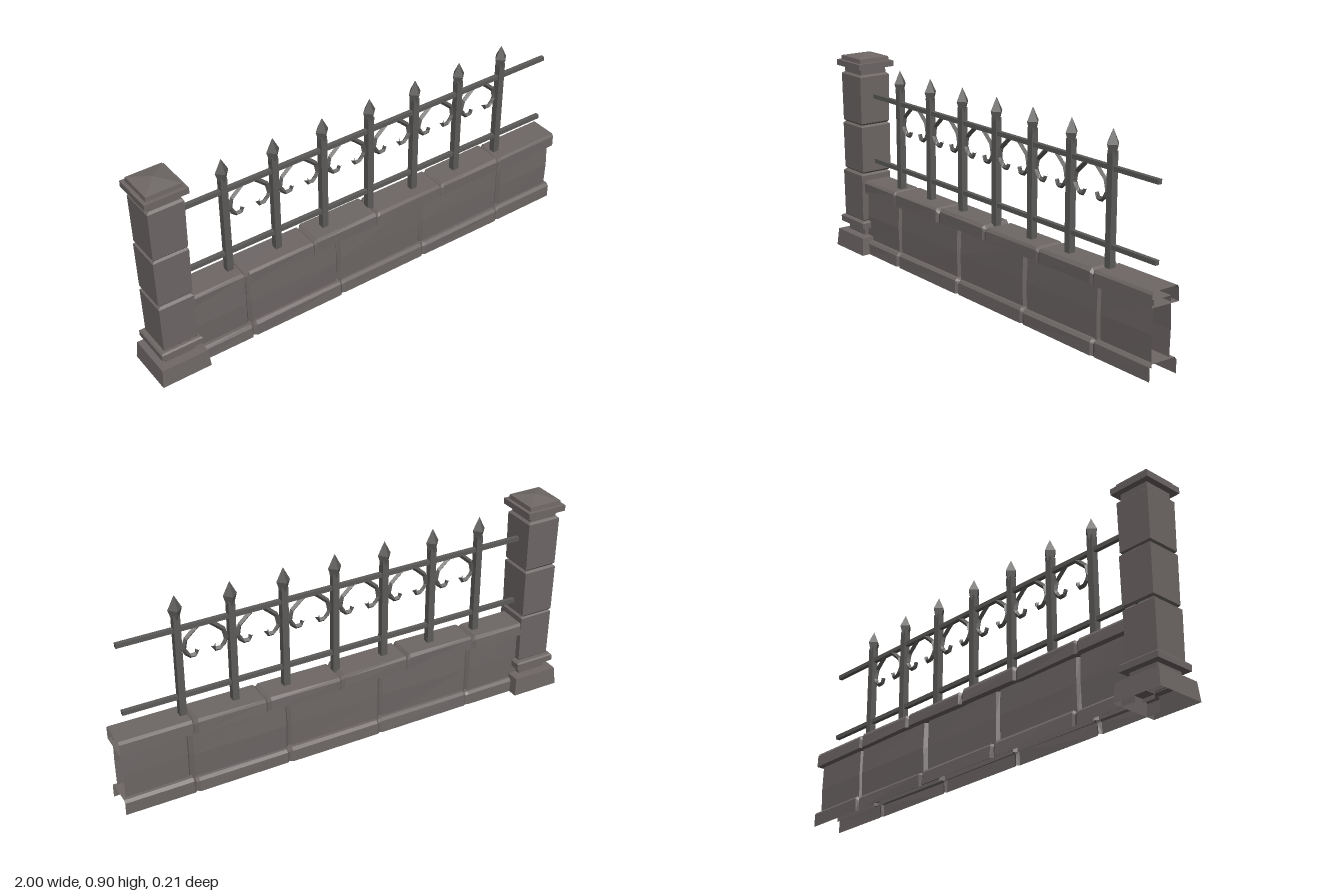
import * as THREE from 'three';

const stone = new THREE.MeshStandardMaterial({ color: 0x6e6766, flatShading: true, side: THREE.DoubleSide });
stone.name = 'stone';
const iron = new THREE.MeshStandardMaterial({ color: 0x5c5b59, flatShading: true });
iron.name = 'iron';

// Small seeded generator for the worn, uneven stone edges
let seed = 7;
function jitter(amount) {
  seed = (seed * 16807) % 2147483647;
  return (seed / 2147483647 - 0.5) * 2 * amount;
}

function add(parent, name, geometry, material, x = 0, y = 0, z = 0) {
  const flat = geometry.index ? geometry.toNonIndexed() : geometry;
  flat.computeVertexNormals();
  const mesh = new THREE.Mesh(flat, material);
  mesh.name = name;
  mesh.position.set(x, y, z);
  parent.add(mesh);
  return mesh;
}

// Four-sided stack with flat faces along x and z; profile is [halfWidth, y]
function squareStack(profile) {
  const pts = profile.map(([w, y]) => new THREE.Vector2(w * Math.SQRT2, y));
  return new THREE.LatheGeometry(pts, 4, Math.PI / 4);
}

// Runs a [z, y] profile along x; each seam becomes a V groove between blocks
function course(profile, start, end, seams, { groove, drop = 0, wear, bevel = 0.012, closed = false }) {
  const rings = [];
  const midY = profile.reduce((s, p) => s + p[1], 0) / profile.length;
  const edges = [start, ...seams, end];
  for (let b = 0; b < edges.length - 1; b++) {
    const last = b === edges.length - 2;
    const lift = jitter(wear), shift = jitter(wear);
    const block = (x, skew) => profile.map(([z, y]) => [
      x + skew,
      y < 0.001 ? 0 : y + (y > midY ? lift : 0) + jitter(wear * 0.6),
      z + shift + jitter(wear * 0.5),
    ]);
    rings.push(block(edges[b] + bevel, 0));
    rings.push(block(edges[b + 1] - (last ? 0 : bevel), 0));
    if (!last) {
      rings.push(profile.map(([z, y]) => [
        edges[b + 1] + jitter(0.004),
        y > midY ? y - drop : y,
        z * groove,
      ]));
    }
  }
  const n = profile.length, pos = [], index = [];
  rings.forEach((ring) => ring.forEach((p) => pos.push(...p)));
  for (let i = 0; i < rings.length - 1; i++) {
    for (let j = 0; j < (closed ? n : n - 1); j++) {
      const k = (j + 1) % n;
      const a = i * n + j, d = i * n + k;
      index.push(a, a + n, d + n, a, d + n, d);
    }
  }
  const g = new THREE.BufferGeometry();
  g.setAttribute('position', new THREE.Float32BufferAttribute(pos, 3));
  g.setIndex(index);
  return g;
}

function buildPillar() {
  const pillar = new THREE.Group();
  pillar.name = 'pillar';
  pillar.position.x = -0.893;

  add(pillar, 'pillarBase', squareStack([[0.107, 0], [0.1, 0.078], [0.06, 0.08]]), stone);
  add(pillar, 'pillarNeck', squareStack([[0.064, 0.075], [0.064, 0.12]]), stone);
  add(pillar, 'pillarPlinth', squareStack(
    [[0.06, 0.115], [0.09, 0.117], [0.09, 0.142], [0.084, 0.148], [0.06, 0.15]]), stone);

  // Three stacked shaft blocks with chamfered joints
  [[0.145, 0.367, 0.004], [0.367, 0.587, -0.001], [0.587, 0.812, 0]].forEach(([y0, y1, dz]) => {
    add(pillar, 'shaftBlock', squareStack([
      [0.066, y0], [0.073, y0 + 0.008], [0.075, y1 - 0.008], [0.066, y1], [0.02, y1],
    ]), stone, 0, 0, dz);
  });

  add(pillar, 'capNeck', squareStack([[0.064, 0.805], [0.064, 0.845]]), stone);
  add(pillar, 'capSlab', squareStack([[0.06, 0.84], [0.09, 0.84], [0.09, 0.865], [0.07, 0.866]]), stone);
  add(pillar, 'capPyramid', squareStack([[0.076, 0.864], [0.074, 0.884], [0.0005, 0.9]]), stone);
  return pillar;
}

function buildWall() {
  const wall = new THREE.Group();
  wall.name = 'wall';

  add(wall, 'wallFooting', course(
    [[0.067, 0], [0.066, 0.052], [0.056, 0.064], [-0.056, 0.064], [-0.066, 0.052], [-0.067, 0]],
    -0.86, 1, [-0.56, -0.13, 0.29, 0.7], { groove: 0.88, drop: 0.008, wear: 0.003 }), stone);

  add(wall, 'wallPanels', course(
    [[0.044, 0.045], [0.047, 0.17], [0.043, 0.3], [-0.043, 0.3], [-0.047, 0.17], [-0.044, 0.045]],
    -0.86, 0.988, [-0.568, -0.14, 0.285, 0.71], { groove: 0.7, wear: 0.003 }), stone);

  add(wall, 'wallCoping', course(
    [[0.067, 0.278], [0.067, 0.325], [0.058, 0.337], [-0.058, 0.337], [-0.067, 0.325], [-0.067, 0.278]],
    -0.86, 1, [-0.58, -0.26, 0.05, 0.38, 0.69],
    { groove: 0.9, drop: 0.01, wear: 0.004, closed: true }), stone);
  return wall;
}

// Angular iron hook hanging below the top rail; side mirrors it
function hookGeometry(side) {
  const pts = [[-0.026, 0.708], [-0.045, 0.692], [-0.08, 0.66], [-0.088, 0.615], [-0.066, 0.585], [-0.04, 0.585], [-0.032, 0.606]];
  const path = new THREE.CurvePath();
  const v = pts.map(([x, y]) => new THREE.Vector3(x * side, y, 0));
  for (let i = 0; i < v.length - 1; i++) path.add(new THREE.LineCurve3(v[i], v[i + 1]));
  return new THREE.TubeGeometry(path, 9, 0.01, 4, false);
}

function buildFence() {
  const fence = new THREE.Group();
  fence.name = 'fence';

  for (const y of [0.42, 0.714]) {
    add(fence, 'rail', new THREE.BoxGeometry(1.785, 0.018, 0.018), iron, 0.0625, y, 0);
  }

  const count = 7, first = -0.62, step = 0.2225;
  for (let i = 0; i < count; i++) {
    const x = first + i * step;
    add(fence, 'post', new THREE.BoxGeometry(0.028, 0.47, 0.028), iron, x, 0.542, 0);
    // Pointed finial with its corners facing front and side
    const tip = [[0.016, 0.76], [0.029, 0.802], [0.0005, 0.858]].map(([r, y]) => new THREE.Vector2(r, y));
    add(fence, 'finial', new THREE.LatheGeometry(tip, 4), iron, x, 0, 0);
    if (i < count - 1) {
      for (const side of [1, -1]) add(fence, 'scrollHook', hookGeometry(side), iron, x + step / 2, 0, 0);
    }
  }
  return fence;
}

export function createModel() {
  seed = 7;
  const model = new THREE.Group();
  model.name = 'fenceWall';
  model.add(buildPillar(), buildWall(), buildFence());
  return model;
}
